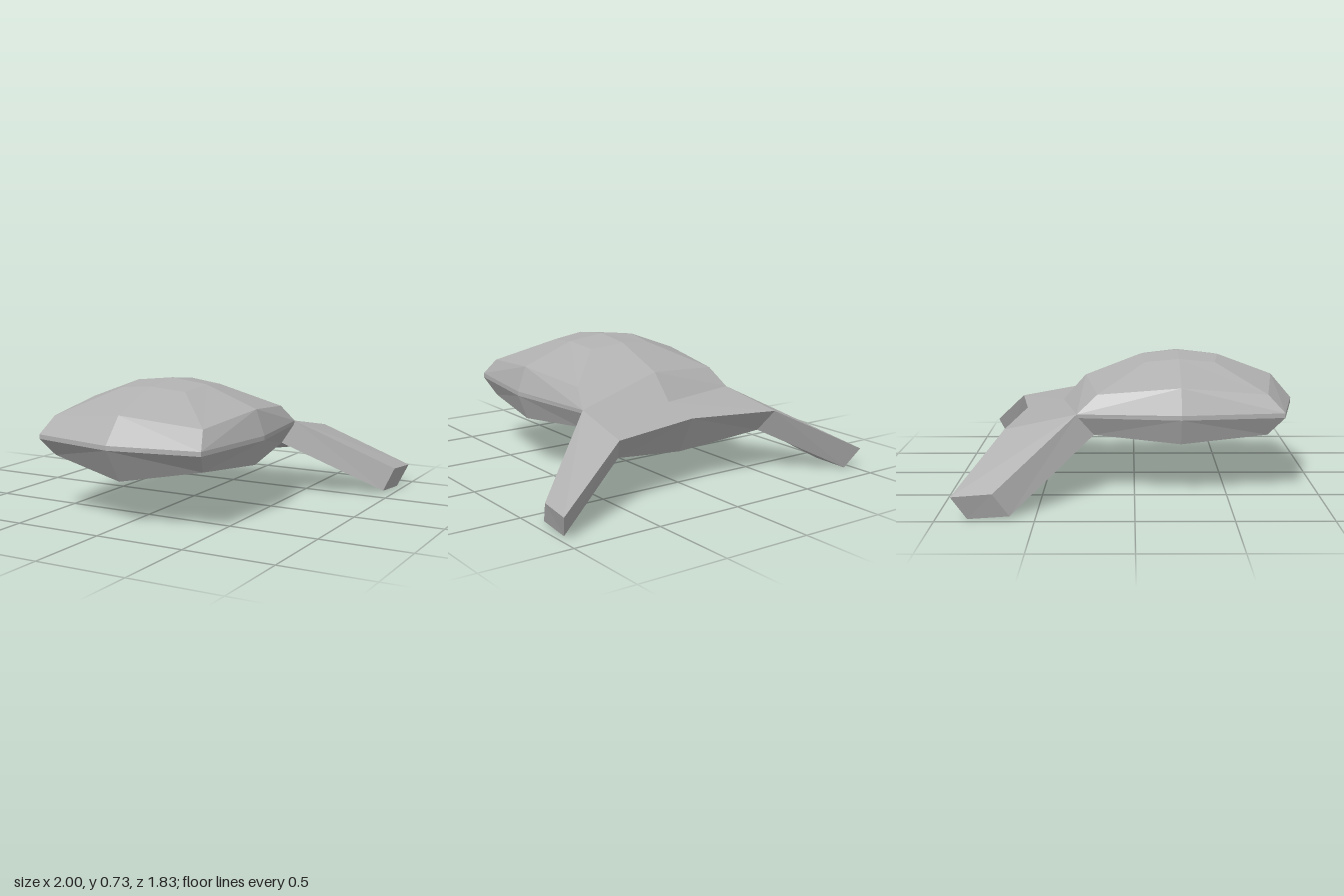
import * as THREE from 'three';

const grey = new THREE.MeshStandardMaterial({ color: 0xb0b0b0, flatShading: true });
grey.name = 'grey shell';

// Faceted mesh from half-side quads, mirrored in x; faces turn away from the inner point.
function facetedMesh(name, quads, inner) {
  const positions = [];
  const inside = new THREE.Vector3(...inner);
  const addTriangle = (a, b, c) => {
    const [p, q, r] = [a, b, c].map((v) => new THREE.Vector3(...v));
    const normal = q.clone().sub(p).cross(r.clone().sub(p));
    const outward = normal.dot(p.clone().sub(inside)) >= 0;
    const left = outward ? [p, q, r] : [p, r, q];
    const right = [left[0], left[2], left[1]];
    left.forEach((v) => positions.push(v.x, v.y, v.z));
    right.forEach((v) => positions.push(-v.x, v.y, v.z));
  };
  for (const [a, b, c, d] of quads) {
    addTriangle(a, b, c);
    addTriangle(a, c, d);
  }
  const geometry = new THREE.BufferGeometry();
  geometry.setAttribute('position', new THREE.Float32BufferAttribute(positions, 3));
  geometry.computeVertexNormals();
  const mesh = new THREE.Mesh(geometry, grey);
  mesh.name = name;
  return mesh;
}

// Body: widest section shared by the front and back halves
const mid = {
  top: [0, 0.73, 0.25], crown: [0.22, 0.705, 0.25], shoulder: [0.525, 0.59, 0.25],
  rimTop: [0.575, 0.45, 0.25], rimLow: [0.575, 0.425, 0.25],
  belly: [0.52, 0.285, 0.25], keel: [0, 0.18, 0.25],
};
const front = {
  top: [0, 0.705, 0.48], crown: [0.2, 0.685, 0.45],
  brow: [0, 0.59, 0.79], shoulder: [0.46, 0.545, 0.72],
  noseTop: [0, 0.45, 0.91], rimTop: [0.5, 0.45, 0.81],
  noseLow: [0, 0.425, 0.91], rimLow: [0.5, 0.425, 0.81],
  belly: [0.46, 0.325, 0.72], keel: [0, 0.24, 0.79],
};
const back = {
  top: [0, 0.705, 0.03], crown: [0.2, 0.685, 0.06],
  brow: [0, 0.585, -0.28], shoulder: [0.46, 0.545, -0.2],
  noseTop: [0, 0.44, -0.41], rimTop: [0.5, 0.445, -0.31],
  noseLow: [0, 0.42, -0.41], rimLow: [0.5, 0.425, -0.3],
  belly: [0.46, 0.325, -0.22], keel: [0, 0.24, -0.28],
};

const bodyHalf = (e) => [
  [mid.top, e.top, e.crown, mid.crown],
  [mid.crown, e.crown, e.shoulder, mid.shoulder],
  [e.top, e.brow, e.shoulder, e.crown],
  [e.brow, e.noseTop, e.rimTop, e.shoulder],
  [mid.shoulder, e.shoulder, e.rimTop, mid.rimTop],
  [mid.rimTop, e.rimTop, e.rimLow, mid.rimLow],
  [e.noseTop, e.noseLow, e.rimLow, e.rimTop],
  [mid.rimLow, e.rimLow, e.belly, mid.belly],
  [e.noseLow, e.keel, e.belly, e.rimLow],
  [mid.keel, mid.belly, e.belly, e.keel],
];

// Tail plate and swept fins
const tail = {
  top: [0, 0.39, -0.62], edge: [0.53, 0.37, -0.695],
  low: [0.48, 0.25, -0.61], keel: [0, 0.18, -0.51],
};
const tip = {
  frontTop: [0.98, 0.135, -0.71], backTop: [1, 0.125, -0.915],
  backLow: [0.955, 0, -0.84], frontLow: [0.94, 0.01, -0.63],
};
const tailQuads = [
  [back.noseTop, back.rimTop, tail.edge, tail.top],
  [tail.top, tail.edge, tail.low, tail.keel],
  [tail.keel, tail.low, back.belly, back.keel],
];
const finQuads = [
  [back.rimTop, tip.frontTop, tip.backTop, tail.edge],
  [back.rimTop, back.belly, tip.frontLow, tip.frontTop],
  [back.belly, tail.low, tip.backLow, tip.frontLow],
  [tail.edge, tip.backTop, tip.backLow, tail.low],
  [tip.frontTop, tip.frontLow, tip.backLow, tip.backTop],
];

export function createModel() {
  const group = new THREE.Group();
  group.name = 'finnedShell';
  group.add(
    facetedMesh('body', [...bodyHalf(front), ...bodyHalf(back)], [0, 0.44, 0.25]),
    facetedMesh('tailPlate', tailQuads, [0, 0.31, -0.45]),
    facetedMesh('fins', finQuads, [0.72, 0.2, -0.6]),
  );
  return group;
}
